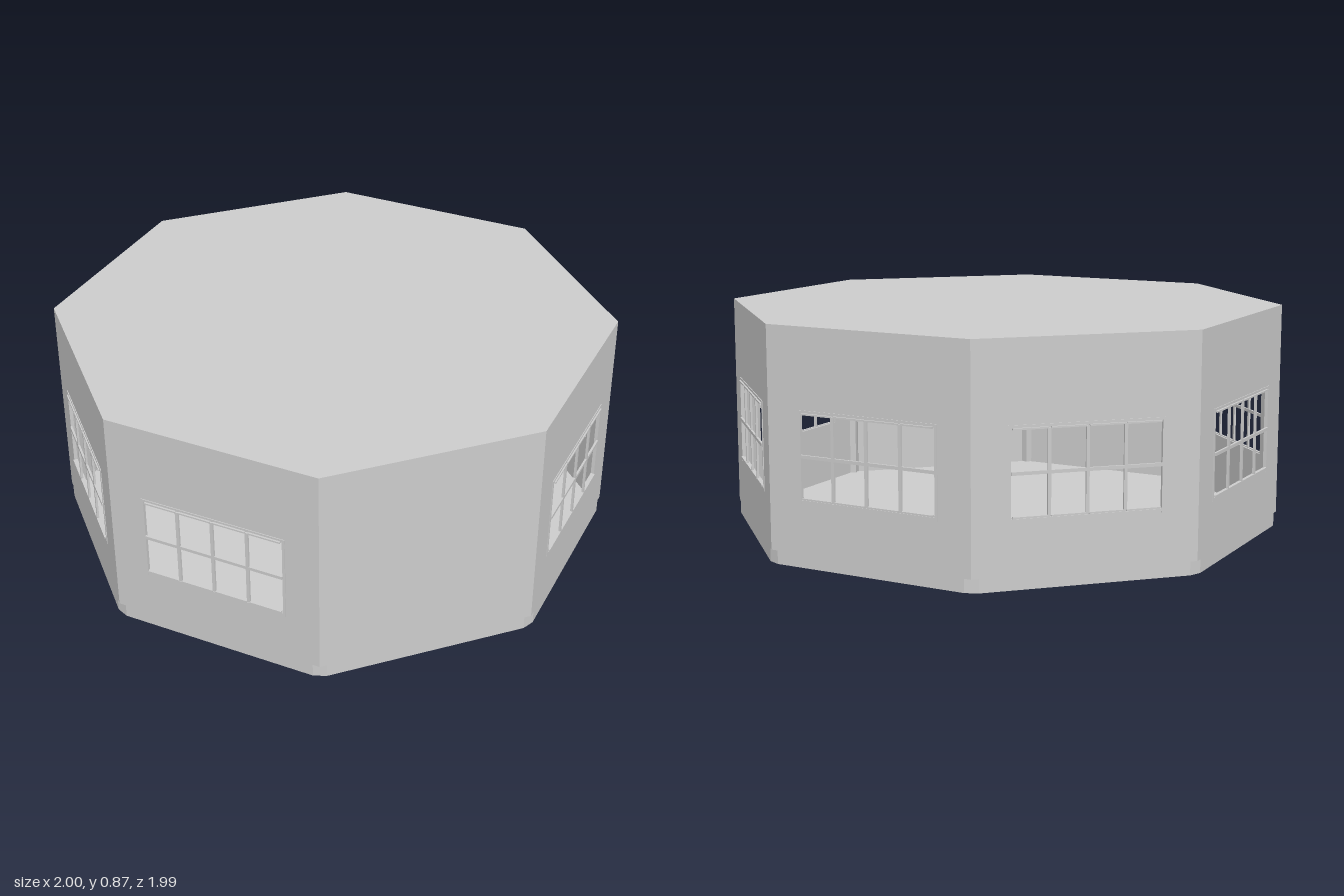
import * as THREE from 'three';

const A = 0.992;                          // distance from centre to each wall face
const H = A * Math.tan(Math.PI / 8);      // half the length of one side
const HEIGHT = 0.865, SLAB = 0.005, T = 0.01;
const E = 0.027;                          // reach of a corner post along each wall
const POST_Y = 0.05;                      // posts start above the base
const WIN = { x: 0.272, y0: 0.253, y1: 0.557 };

const grey = new THREE.MeshStandardMaterial({ color: 0xcccccc, flatShading: true });

function add(parent, name, geometry, x = 0, y = 0, z = 0) {
  const mesh = new THREE.Mesh(geometry, grey);
  mesh.name = name;
  mesh.position.set(x, y, z);
  parent.add(mesh);
  return mesh;
}

// Upright prism from a plan given as [x, z] points
function prism(points, y0, y1) {
  const shape = new THREE.Shape(points.map(([x, z]) => new THREE.Vector2(x, -z)));
  const g = new THREE.ExtrudeGeometry(shape, { depth: y1 - y0, bevelEnabled: false });
  return g.rotateX(-Math.PI / 2).translate(0, y0, 0);
}

function rectangle(Type, x0, y0, x1, y1) {
  return new Type([[x0, y0], [x1, y0], [x1, y1], [x0, y1]].map(p => new THREE.Vector2(...p)));
}

// Thin wall, optionally pierced by a window
function wallGeometry(hasWindow) {
  const shape = rectangle(THREE.Shape, -H + E, SLAB, H - E, HEIGHT - SLAB);
  if (hasWindow) shape.holes.push(rectangle(THREE.Path, -WIN.x, WIN.y0, WIN.x, WIN.y1));
  return new THREE.ExtrudeGeometry(shape, { depth: T, bevelEnabled: false }).translate(0, 0, A - T);
}

// Glazing bars and the slim trim around the opening
function addWindow(side) {
  const win = new THREE.Group();
  win.name = 'window';
  side.add(win);
  const cy = (WIN.y0 + WIN.y1) / 2, h = WIN.y1 - WIN.y0;
  const zc = 0.995, depth = 0.010, bar = 0.012;
  for (const x of [-0.137, 0, 0.137])
    add(win, 'verticalBar', new THREE.BoxGeometry(bar, h, depth - 0.002), x, cy, zc - 0.001);
  add(win, 'crossBar', new THREE.BoxGeometry(WIN.x * 2, bar, depth - 0.002), 0, cy, zc - 0.001);

  // Raised edges, one length above and below each column of panes
  for (let i = 0; i < 4; i++)
    for (const y of [WIN.y0, WIN.y1])
      add(win, 'paneEdge', new THREE.BoxGeometry(0.125, 0.006, depth), (i - 1.5) * 0.136, y, zc);

  for (const s of [-1, 1]) {
    add(win, 'sideTrim', new THREE.BoxGeometry(0.01, 0.335, 0.006), s * 0.277, 0.4025, A);
    add(win, 'railTrim', new THREE.BoxGeometry(0.56, 0.008, 0.006), 0, cy + s * 0.161, A);
  }
}

export function createModel() {
  const model = new THREE.Group();
  const room = new THREE.Group();
  room.name = 'octagonalRoom';
  room.position.z = 0.004;
  model.add(room);

  // Corner plan, in the frame of the wall to its left
  const c = Math.SQRT1_2 * E;
  const corner = [H, A], before = [H - E, A], after = [H + c, A - c];
  const inner = [H * 0.97, A * 0.97];
  const post = prism([before, corner, after, inner], POST_Y, HEIGHT - SLAB);
  const foot = prism([before, after, inner], SLAB, POST_Y);
  const plain = wallGeometry(false), pierced = wallGeometry(true);

  // Eight sides; only the front one is blank
  const floorPlan = [], roofPlan = [];
  for (let k = 0; k < 8; k++) {
    const angle = k * Math.PI / 4;
    const side = new THREE.Group();
    side.name = 'side';
    side.rotation.y = angle;
    room.add(side);
    add(side, 'wall', k ? pierced : plain);
    add(side, 'cornerPost', post);
    add(side, 'cornerFoot', foot);
    if (k) addWindow(side);

    const turn = ([x, z]) => [
      x * Math.cos(angle) + z * Math.sin(angle),
      -x * Math.sin(angle) + z * Math.cos(angle)];
    floorPlan.push(turn(before), turn(after));
    roofPlan.push(turn(corner));
  }

  // Floor follows the clipped corners, roof the sharp ones
  add(room, 'floor', prism(floorPlan, 0, SLAB));
  add(room, 'roof', prism(roofPlan, HEIGHT - SLAB, HEIGHT));
  return model;
}
